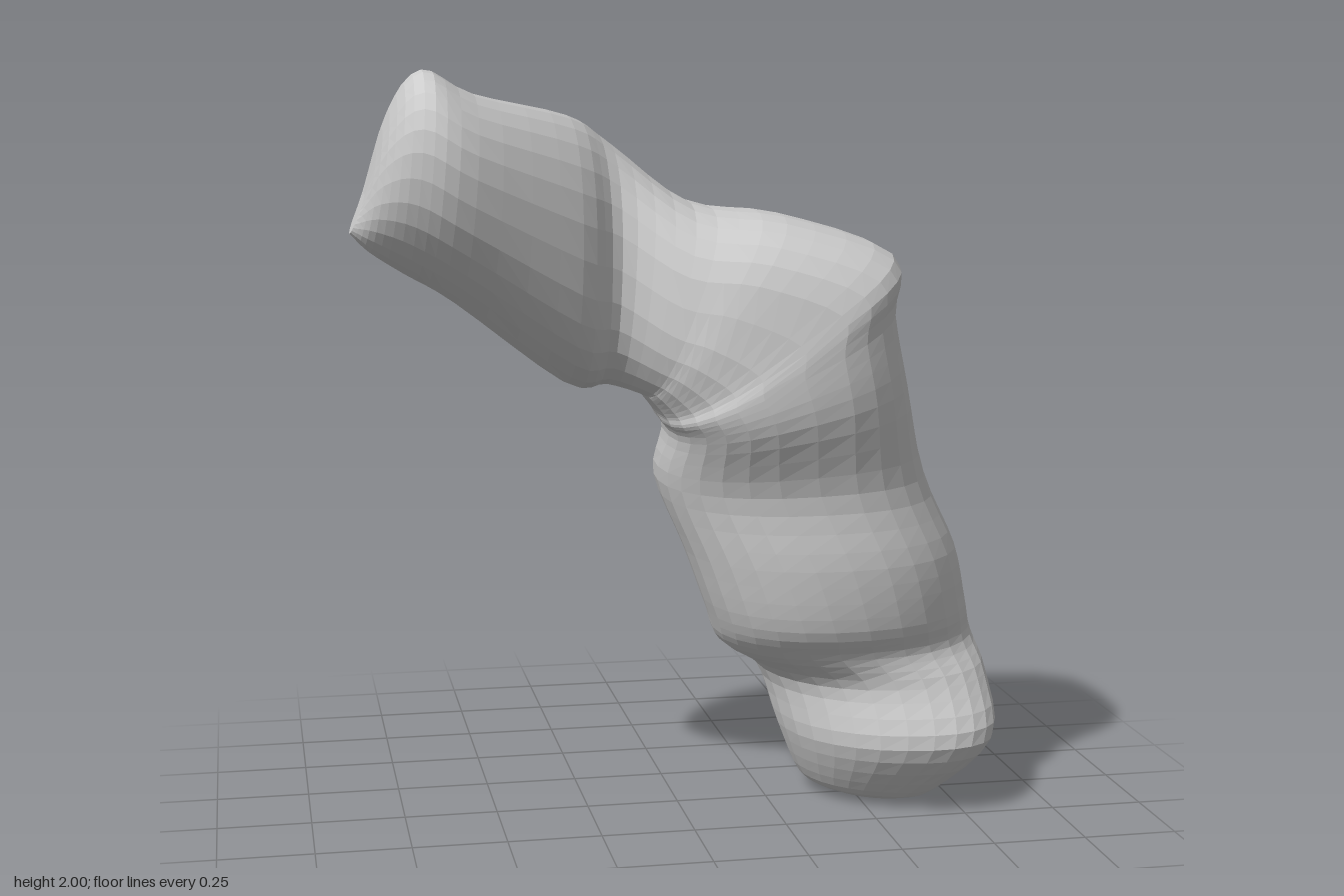
import * as THREE from 'three';

const SIDES = 28;
const RINGS = 72;

// Cross-sections along the bent body, foot to tip:
// [inner x, inner y, outer x, outer y, z min, z max, skew]
const SECTIONS = [
  // foot
  [0.43, 0.01, 0.64, 0.00, -0.10, 0.10, 0.45],
  [0.36, 0.05, 0.71, 0.04, -0.14, 0.18, 0.45],
  [0.30, 0.19, 0.85, 0.20, -0.23, 0.30, 0.35],
  [0.25, 0.35, 0.87, 0.35, -0.38, 0.24, 0.15],
  // lower body
  [0.13, 0.44, 0.86, 0.44, -0.45, 0.24, -0.10],
  [0.09, 0.53, 0.84, 0.53, -0.45, 0.29, -0.15],
  [0.03, 0.70, 0.79, 0.70, -0.44, 0.31, -0.08],
  [-0.04, 0.89, 0.69, 0.91, -0.46, 0.30, 0],
  // elbow, fanning around the inner corner
  [-0.03, 1.03, 0.62, 1.17, -0.41, 0.37, -0.08],
  [-0.05, 1.07, 0.57, 1.37, -0.37, 0.38, -0.05],
  [-0.06, 1.09, 0.56, 1.52, -0.36, 0.37, 0],
  [-0.09, 1.13, 0.27, 1.62, -0.35, 0.34, 0],
  [-0.11, 1.145, 0.03, 1.655, -0.35, 0.29, -0.05],
  // arm
  [-0.20, 1.17, -0.17, 1.81, -0.38, 0.23, -0.15],
  [-0.31, 1.18, -0.29, 1.88, -0.37, 0.33, -0.05],
  [-0.60, 1.40, -0.56, 1.94, -0.22, 0.46, 0.22],
  // blunt tip
  [-0.73, 1.48, -0.69, 2.00, -0.13, 0.45, 0.25],
  [-0.82, 1.54, -0.77, 1.90, -0.04, 0.36, 0.2],
  [-0.87, 1.59, -0.83, 1.69, 0.07, 0.20, 0],
];

// Smooth curve through two or three columns of the section table
const rail = (i, j, k) => new THREE.CatmullRomCurve3(
  SECTIONS.map((s) => new THREE.Vector3(s[i], s[j], s[k])), false, 'catmullrom', 0.5);

function bodyGeometry() {
  const inner = rail(0, 1, 6), outer = rail(2, 3, 6), depth = rail(4, 5, 6);
  const pos = [], index = [];
  for (let j = 0; j <= RINGS; j++) {
    const t = j / RINGS;
    const p = inner.getPoint(t), q = outer.getPoint(t), d = depth.getPoint(t);
    // squarest at the elbow, rounder toward both ends
    const power = 2.15 + 0.7 * Math.exp(-(((t - 0.54) / 0.14) ** 2));
    const bulge = (v) => (1 + Math.sign(v) * Math.pow(Math.abs(v), 2 / power)) / 2;
    for (let i = 0; i < SIDES; i++) {
      const th = (i / SIDES) * Math.PI * 2;
      const a = bulge(Math.cos(th)), b = bulge(Math.sin(th + d.z));
      pos.push(p.x + (q.x - p.x) * a, p.y + (q.y - p.y) * a, d.x + (d.y - d.x) * b);
      if (j < RINGS) {
        const m = j * SIDES + i, n = j * SIDES + (i + 1) % SIDES;
        index.push(m, m + SIDES, n, n, m + SIDES, n + SIDES);
      }
    }
  }
  // end caps
  const e = RINGS * SIDES;
  for (let i = 1; i < SIDES - 1; i++) {
    index.push(0, i, i + 1, e, e + i + 1, e + i);
  }
  const geo = new THREE.BufferGeometry();
  geo.setAttribute('position', new THREE.Float32BufferAttribute(pos, 3));
  geo.setIndex(index);
  geo.computeVertexNormals();
  return geo;
}

export function createModel() {
  const group = new THREE.Group();
  group.name = 'bentLump';
  const body = new THREE.Mesh(bodyGeometry(),
    new THREE.MeshStandardMaterial({ color: 0xcccccc, flatShading: true }));
  body.name = 'bentBody';
  group.add(body);
  return group;
}
